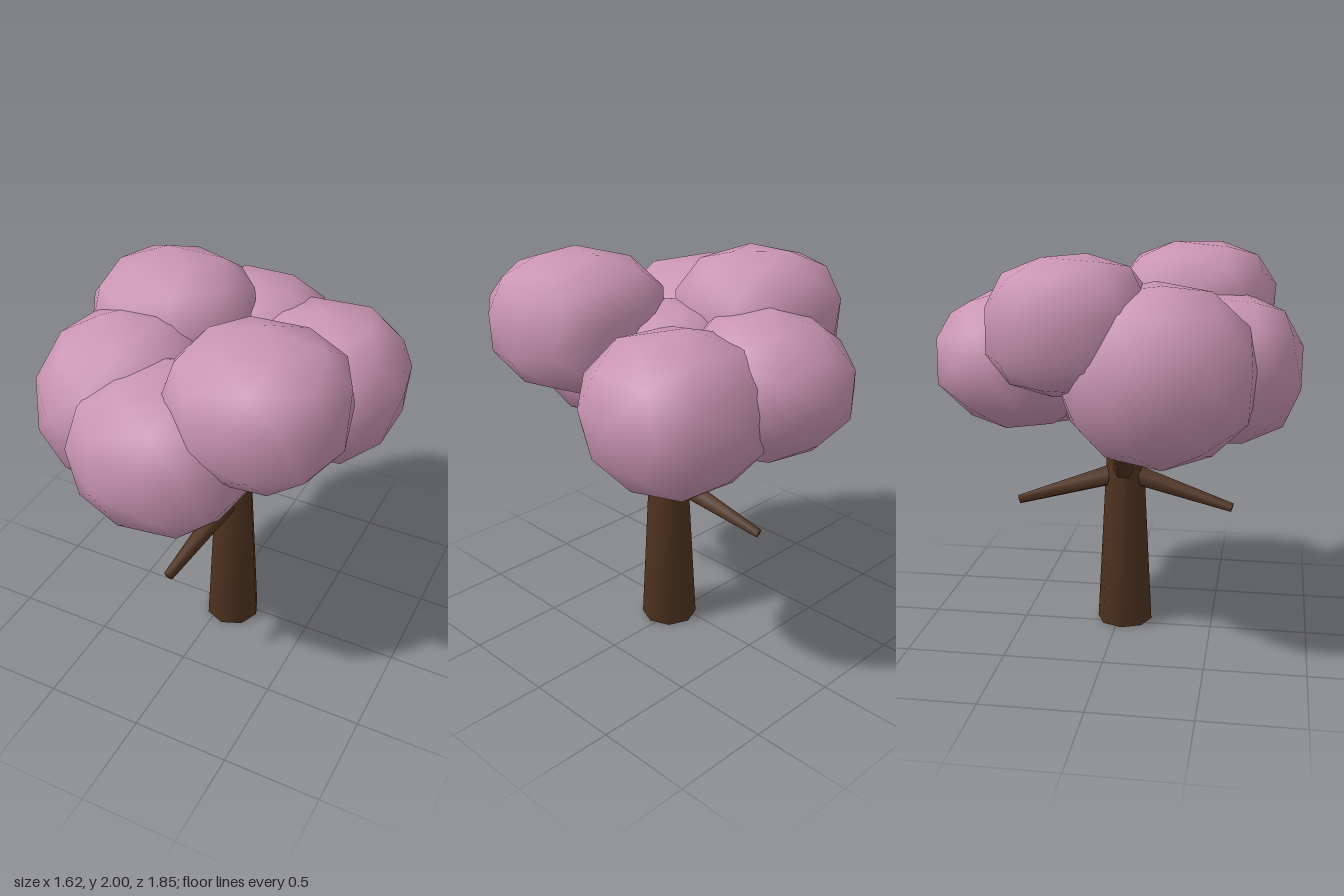
import * as THREE from 'three';
import { mergeVertices } from 'three/addons/utils/BufferGeometryUtils.js';

const blossom = new THREE.MeshStandardMaterial({ name: 'blossomPink', color: 0xca95b3 });
const bark = new THREE.MeshStandardMaterial({ name: 'barkBrown', color: 0x503320 });

// Weld all corners so the whole surface shades smoothly
function weld(geo) {
  geo.deleteAttribute('uv');
  geo.deleteAttribute('normal');
  const welded = mergeVertices(geo, 1e-4);
  welded.computeVertexNormals();
  return welded;
}

// Low-poly puff: a tilted icosphere fitted to a centre and half-sizes.
// Per axis, a fullness below 1 pushes its corners outward.
function puff(name, centre, half, tilt, fullness) {
  const geo = weld(new THREE.IcosahedronGeometry(1, 1));
  geo.applyMatrix4(new THREE.Matrix4().makeRotationFromEuler(new THREE.Euler(...tilt)));
  geo.computeBoundingBox();
  const max = geo.boundingBox.max.toArray();
  const pos = geo.attributes.position;
  for (let i = 0; i < pos.count; i++) {
    for (let k = 0; k < 3; k++) {
      const v = pos.getComponent(i, k) / max[k];
      pos.setComponent(i, k, Math.sign(v) * Math.abs(v) ** fullness[k] * half[k]);
    }
  }
  geo.computeVertexNormals();
  const mesh = new THREE.Mesh(geo, blossom);
  mesh.name = name;
  mesh.position.set(...centre);
  return mesh;
}

// Tapered limb from one point to another
function limb(name, from, to, r0, r1, sides) {
  const a = new THREE.Vector3(...from), b = new THREE.Vector3(...to);
  const dir = b.clone().sub(a);
  const mesh = new THREE.Mesh(weld(new THREE.CylinderGeometry(r1, r0, dir.length(), sides)), bark);
  mesh.name = name;
  mesh.position.copy(a).add(b).multiplyScalar(0.5);
  mesh.quaternion.setFromUnitVectors(new THREE.Vector3(0, 1, 0), dir.normalize());
  return mesh;
}

export function createModel() {
  const tree = new THREE.Group();
  tree.name = 'blossomTree';

  // Trunk and branches
  tree.add(
    limb('trunk', [0.065, 0, 0.032], [0.065, 1.2, 0.032], 0.145, 0.083, 8),
    limb('frontBranch', [0.07, 0.825, 0.03], [-0.012, 0.675, 0.6], 0.062, 0.026, 6),
    limb('backBranch', [0.065, 0.825, 0.03], [-0.02, 0.67, -0.52], 0.062, 0.025, 6),
    limb('sideBranch', [0.065, 0.81, 0.03], [-0.42, 1.12, 0.07], 0.058, 0.03, 6)
  );

  // Canopy: name, centre, half-sizes, tilt, fullness
  const puffs = [
    ['middlePuff', [0.05, 1.415, 0.01], [0.44, 0.345, 0.39], [0.3, 0.4, 0], [0.9, 0.9, 0.9]],
    ['backRightTopPuff', [-0.365, 1.655, -0.17], [0.405, 0.325, 0.4], [0.25, 0.5, 0.3], [0.88, 0.76, 0.88]],
    ['frontLeftTopPuff', [0.35, 1.67, 0.37], [0.415, 0.33, 0.41], [0.3, 0.25, 0.28], [0.86, 0.76, 0.86]],
    ['backLeftPuff', [0.385, 1.4, -0.345], [0.42, 0.38, 0.435], [0, 0, 0.1], [0.78, 0.9, 0.85]],
    ['backPuff', [-0.07, 1.445, -0.48], [0.45, 0.36, 0.445], [0.05, -0.1, 0.1], [1, 0.95, 1.05]],
    ['frontRightPuff', [-0.385, 1.43, 0.255], [0.425, 0.43, 0.475], [0, 0.2, 0.25], [0.92, 0.97, 0.94]],
    ['frontPuff', [-0.05, 1.41, 0.5], [0.43, 0.365, 0.425], [0.3, 0.3, 0.28], [0.86, 0.84, 0.78]]
  ];
  for (const p of puffs) tree.add(puff(...p));
  return tree;
}
